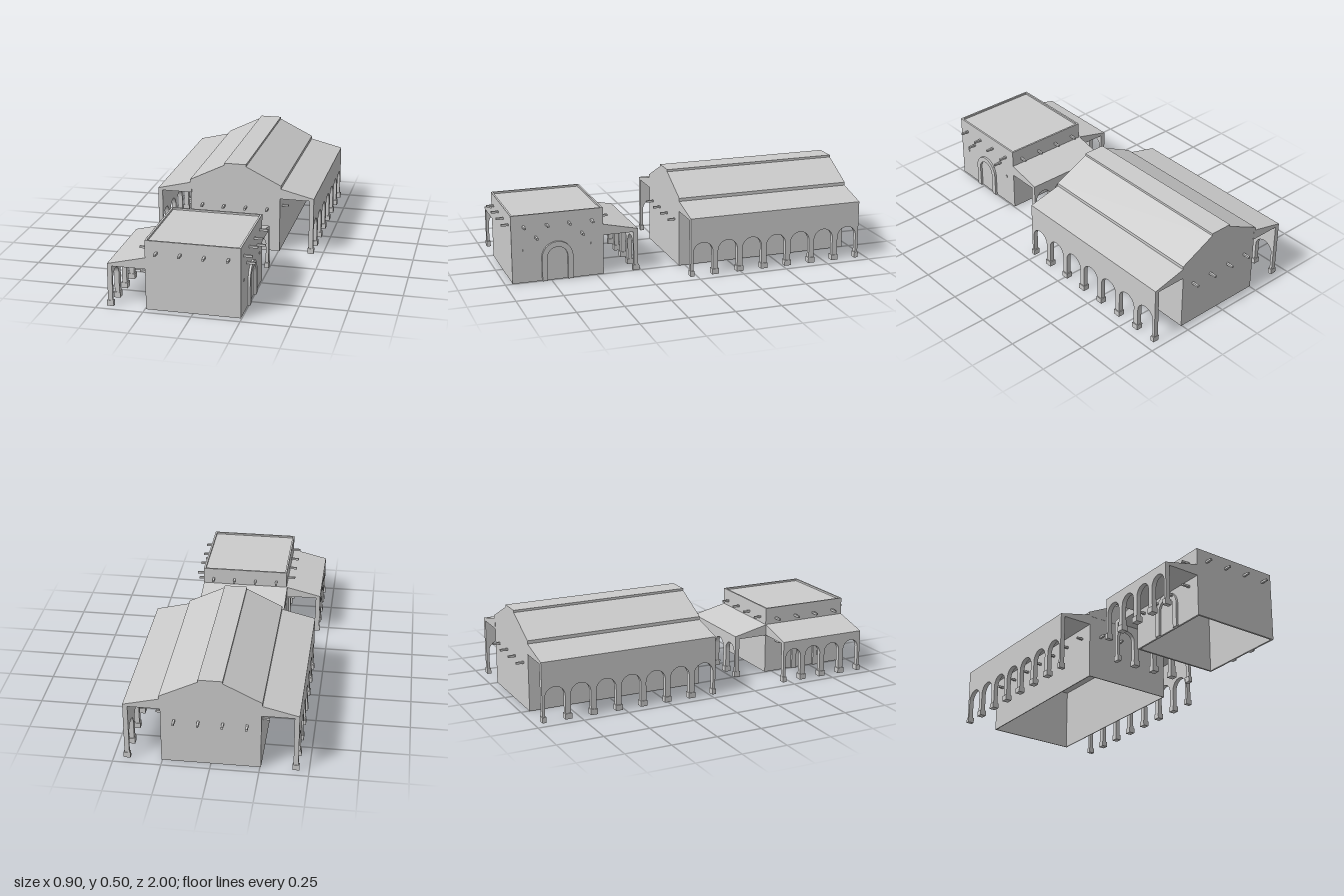
import * as THREE from 'three';

const mat = new THREE.MeshStandardMaterial({ color: 0xcccccc, flatShading: true, side: THREE.DoubleSide });

function add(parent, geo, name, x = 0, y = 0, z = 0) {
  const m = new THREE.Mesh(geo, mat);
  m.name = name;
  m.position.set(x, y, z);
  parent.add(m);
  return m;
}

const box = (parent, name, w, h, d, x, y, z) => add(parent, new THREE.BoxGeometry(w, h, d), name, x, y, z);

// Polygon in x/y, extruded along z and centred on z = 0
function prism(pts, depth) {
  const shape = new THREE.Shape(pts.map(p => new THREE.Vector2(p[0], p[1])));
  return new THREE.ExtrudeGeometry(shape, { depth, bevelEnabled: false }).translate(0, 0, -depth / 2);
}

// Four walls, open below and above
function wallRing(parent, name, w, d, h, t, z) {
  const rect = (C, a, b) => new C([[-a, -b], [a, -b], [a, b], [-a, b]].map(p => new THREE.Vector2(...p)));
  const shape = rect(THREE.Shape, w / 2, d / 2);
  shape.holes.push(rect(THREE.Path, w / 2 - t, d / 2 - t));
  const geo = new THREE.ExtrudeGeometry(shape, { depth: h, bevelEnabled: false }).rotateX(-Math.PI / 2);
  return add(parent, geo, name, 0, 0, z);
}

// Lean-to porch: sloping roof from the wall at x = inner to an arcade at x = outer
function porch(parent, name, { len, inner, outer, yWall, yEave, yBottom, arches }) {
  const g = new THREE.Group();
  g.name = name;
  parent.add(g);
  add(g, prism([[inner, yBottom], [outer, yBottom], [outer, yEave], [inner, yWall]], len), 'porchRoof');

  const end = 0.015, post = 0.03, thick = 0.025, top = 0.185;
  const w = (len - 2 * end - (arches - 1) * post) / arches, r = w / 2;
  const s = new THREE.Shape();
  s.moveTo(-len / 2, yBottom);
  s.lineTo(-len / 2, 0);
  for (let i = 0; i < arches; i++) {
    const a = -len / 2 + end + i * (w + post);
    s.lineTo(a, 0);
    s.lineTo(a, top - r);
    s.absarc(a + r, top - r, r, Math.PI, 0, true);
    s.lineTo(a + w, 0);
  }
  s.lineTo(len / 2, 0);
  s.lineTo(len / 2, yBottom);
  const geo = new THREE.ExtrudeGeometry(s, { depth: thick, bevelEnabled: false, curveSegments: 10 });
  add(g, geo.rotateY(Math.PI / 2), 'arcade', outer - thick);

  // Post bases
  for (let i = 0; i <= arches; i++) {
    const edge = i === 0 ? -1 : i === arches ? 1 : 0;
    const z = edge ? edge * (len / 2 - 0.009) : -len / 2 + end + i * (w + post) - post / 2;
    box(g, 'postBase', thick + 0.01, 0.03, edge ? 0.022 : post + 0.008, outer - thick / 2, 0.015, z);
  }
  return g;
}

// Raised frame around an arched doorway on a side wall
function doorFrame(parent, side, x, z) {
  const s = new THREE.Shape();
  const ro = 0.085, ri = 0.056, spring = 0.128;
  s.moveTo(-ro, 0);
  s.lineTo(-ri, 0);
  s.lineTo(-ri, spring);
  s.absarc(0, spring, ri, Math.PI, 0, true);
  s.lineTo(ri, 0);
  s.lineTo(ro, 0);
  s.lineTo(ro, spring);
  s.absarc(0, spring, ro, 0, Math.PI, false);
  const geo = new THREE.ExtrudeGeometry(s, { depth: 0.012, bevelEnabled: false, curveSegments: 10 });
  add(parent, geo.rotateY(side * Math.PI / 2), 'doorFrame', side * x, 0, z);
}

export function createModel() {
  const root = new THREE.Group();
  root.name = 'buildings';
  const across = [-0.185, -0.062, 0.062, 0.185];
  const beam = 0.011;

  // Long hall
  const hall = new THREE.Group();
  hall.name = 'hall';
  root.add(hall);
  const hz = -0.46, hl = 0.99;
  wallRing(hall, 'hallWalls', 0.51, hl - 0.002, 0.372, 0.005, hz);
  add(hall, prism([[-0.26, 0.36], [0.26, 0.36], [0.26, 0.385], [0.062, 0.483], [0.062, 0.495],
    [-0.062, 0.495], [-0.062, 0.483], [-0.26, 0.385]], hl), 'hallRoof', 0, 0, hz);
  for (const side of [0, 1]) {
    const p = porch(hall, 'hallPorch', { len: hl, inner: 0.25, outer: 0.445, yWall: 0.37, yEave: 0.322, yBottom: 0.31, arches: 7 });
    p.position.z = hz;
    p.rotation.y = side * Math.PI;
  }
  for (const x of across)
    for (const s of [-1, 1]) box(hall, 'beamEnd', beam, beam, 0.045, x, 0.247, hz + s * (hl / 2 + 0.018));
  for (let i = 0; i < 7; i++)
    for (const s of [-1, 1]) box(hall, 'beamEnd', 0.04, beam, beam, s * 0.27, 0.247, hz + (i - 3) * 0.14);

  // Square house with a flat roof behind a low parapet
  const house = new THREE.Group();
  house.name = 'house';
  root.add(house);
  const cz = 0.71;
  wallRing(house, 'houseWalls', 0.49, 0.5, 0.372, 0.01, cz);
  box(house, 'flatRoof', 0.472, 0.01, 0.482, 0, 0.357, cz);
  const along = [0.525, 0.65, 0.77, 0.895];
  for (const x of across)
    for (const s of [-1, 1]) box(house, 'beamEnd', beam, beam, 0.05, x, 0.31, cz + s * 0.265);
  for (const z of along) {
    for (const s of [-1, 1]) box(house, 'beamEnd', 0.05, beam, beam, s * 0.265, 0.31, z);
    box(house, 'porchBeamEnd', 0.05, beam, beam, -0.265, 0.18, z);
    box(house, 'beamStub', 0.012, beam, beam, 0.242, 0.18, z);
  }
  for (const z of [0.58, 0.83]) box(house, 'sideBeamEnd', 0.05, beam, beam, 0.265, 0.247, z);
  for (const s of [-1, 1]) doorFrame(house, s, 0.245, 0.715);

  // House porches on the right and at the back
  const sidePorch = porch(house, 'sidePorch', { len: 0.5, inner: 0.24, outer: 0.445, yWall: 0.28, yEave: 0.23, yBottom: 0.218, arches: 4 });
  sidePorch.position.z = cz;
  sidePorch.rotation.y = Math.PI;
  const backPorch = porch(house, 'backPorch', { len: 0.495, inner: 0.245, outer: 0.445, yWall: 0.28, yEave: 0.235, yBottom: 0.218, arches: 4 });
  backPorch.position.set(-0.0025, 0, cz);
  backPorch.rotation.y = Math.PI / 2;

  return root;
}
